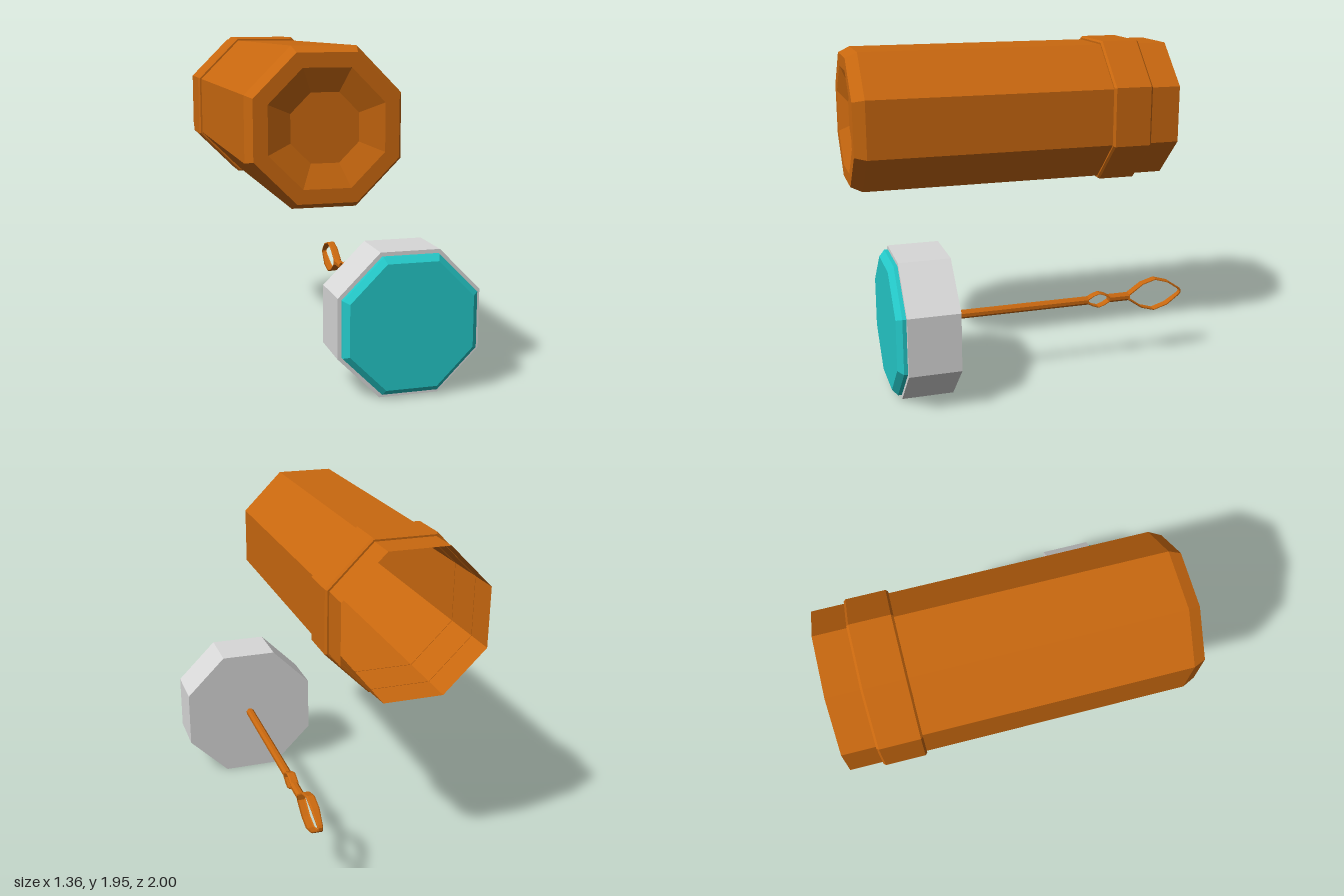
import * as THREE from 'three';

const orange = new THREE.MeshStandardMaterial({ name: 'orangePlastic', color: 0xc9680f, flatShading: true, side: THREE.DoubleSide });
const teal = new THREE.MeshStandardMaterial({ name: 'tealPlastic', color: 0x24c8c8, flatShading: true });
const grey = new THREE.MeshStandardMaterial({ name: 'greyPlastic', color: 0xd8d8d8, flatShading: true });

// Octagonal solid along z; profile lists [distance to flat side, z] from back to front
function octagon(name, material, profile) {
  const points = profile.map(([a, z]) => new THREE.Vector2(a / Math.cos(Math.PI / 8), z));
  const geometry = new THREE.LatheGeometry(points, 8, Math.PI / 8).rotateX(Math.PI / 2).toNonIndexed();
  geometry.computeVertexNormals();
  const mesh = new THREE.Mesh(geometry, material);
  mesh.name = name;
  return mesh;
}

// Flat loop in the y-z plane, from the upper outline [z, half height]
function loop(name, upper, thickness) {
  const outline = (inset) => {
    const mid = (upper[0][0] + upper[upper.length - 1][0]) / 2;
    const half = Math.abs(upper[0][0] - mid);
    const top = upper.map(([z, h]) => new THREE.Vector2(-(mid + (z - mid) * (1 - inset / half)), Math.max(h - inset, 0.003)));
    const bottom = top.map((p) => new THREE.Vector2(p.x, -p.y)).reverse();
    return top.concat(bottom);
  };
  const shape = new THREE.Shape(outline(0.004));
  shape.holes.push(new THREE.Path(outline(thickness - 0.004)));
  const geometry = new THREE.ExtrudeGeometry(shape, {
    depth: 0.034, bevelEnabled: true, bevelThickness: 0.008, bevelSize: 0.004, bevelSegments: 1,
  });
  geometry.translate(0, 0, -0.017).rotateY(Math.PI / 2);
  // narrow the band towards the tip of the wand
  const p = geometry.attributes.position;
  for (let i = 0; i < p.count; i++) {
    const t = THREE.MathUtils.clamp((-0.9 - p.getZ(i)) / 0.1, 0, 1);
    p.setX(i, p.getX(i) * (1 - 0.4 * t));
  }
  geometry.computeVertexNormals();
  const mesh = new THREE.Mesh(geometry, orange);
  mesh.name = name;
  return mesh;
}

// Straight piece of the wand between two z positions
function rod(name, z0, z1) {
  const geometry = new THREE.CylinderGeometry(0.026, 0.026, z1 - z0, 8, 1, false, Math.PI / 8);
  geometry.rotateX(Math.PI / 2).translate(0, 0, (z0 + z1) / 2);
  const mesh = new THREE.Mesh(geometry, orange);
  mesh.name = name;
  return mesh;
}

export function createModel() {
  const model = new THREE.Group();
  model.name = 'bubbleBottleAndWand';

  // Bottle: open at the back, chamfered and dished at the base
  const bottle = new THREE.Group();
  bottle.name = 'bottle';
  bottle.position.set(-0.25, 1.523, 0);
  bottle.add(
    octagon('bottleBody', orange, [[0.412, -0.99], [0.412, 0.925], [0.38, 0.995], [0.305, 0.995], [0.18, 0.945], [0, 0.945]]),
    octagon('bottleCollar', orange, [[0.41, -0.807], [0.422, -0.807], [0.432, -0.795], [0.432, -0.572], [0.422, -0.56], [0.41, -0.56]]),
  );

  // Cap with its coloured top, and the wand fixed behind it
  const cap = new THREE.Group();
  cap.name = 'capAndWand';
  cap.position.set(0.267, 0.413, 0);
  cap.add(
    octagon('cap', grey, [[0, 0.517], [0.412, 0.517], [0.412, 0.818], [0, 0.818]]),
    octagon('capTop', teal, [[0.39, 0.818], [0.39, 0.84], [0.357, 0.872], [0, 0.872]]),
    rod('wandStem', -0.378, 0.52),
    loop('smallLoop', [[-0.37, 0.018], [-0.405, 0.037], [-0.445, 0.049], [-0.485, 0.037], [-0.52, 0.018]], 0.012),
    rod('wandNeck', -0.648, -0.512),
    loop('largeLoop', [[-0.64, 0.022], [-0.73, 0.082], [-0.815, 0.106], [-0.905, 0.08], [-0.99, 0.024], [-1.0, 0.012]], 0.013),
  );

  model.add(bottle, cap);
  return model;
}
